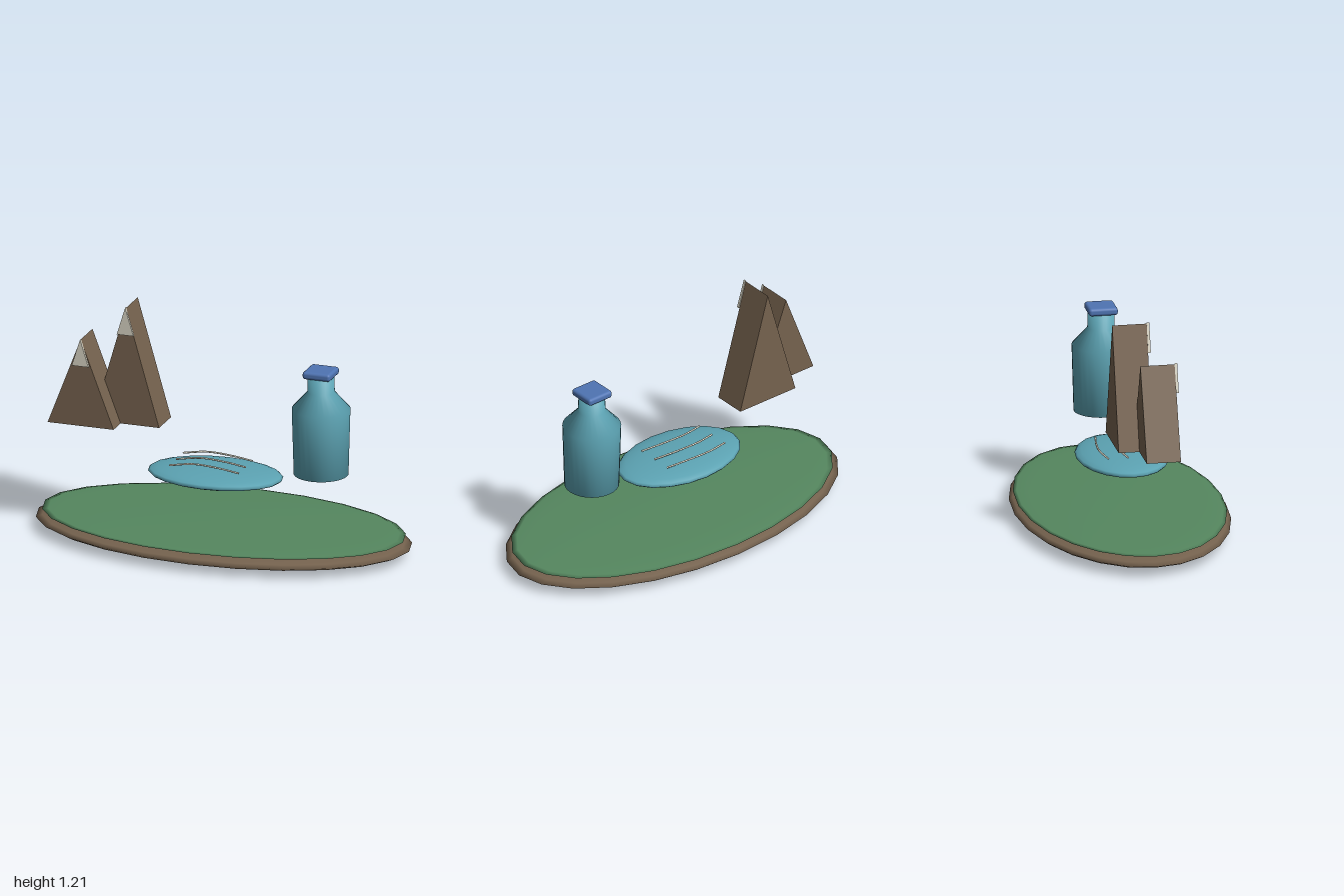
import * as THREE from 'three';
import { RoundedBoxGeometry } from 'three/addons/geometries/RoundedBoxGeometry.js';

const material = (color) => new THREE.MeshStandardMaterial({ color });
const earth = material(0x75624e);
const grass = material(0x55875f);
const water = material(0x5ca3b3);
const capBlue = material(0x4f74b3);
const snow = material(0xd8d4c4);

export function createModel() {
  const model = new THREE.Group();

  const add = (name, geometry, mat, x = 0, y = 0, z = 0) => {
    const mesh = new THREE.Mesh(geometry, mat);
    mesh.name = name;
    mesh.position.set(x, y, z);
    model.add(mesh);
    return mesh;
  };

  // Flattened sphere with radii rx, ry, rz
  const disc = (name, mat, [rx, ry, rz], x, y, z, segments = 24) =>
    add(name, new THREE.SphereGeometry(1, segments, 12).scale(rx, ry, rz), mat, x, y, z);

  // Upright triangular prism, its base centred on x and running from z0 to z1
  const prism = (name, mat, halfWidth, height, x, y, z0, z1) => {
    const shape = new THREE.Shape([
      new THREE.Vector2(-halfWidth, 0),
      new THREE.Vector2(halfWidth, 0),
      new THREE.Vector2(0, height),
    ]);
    const geometry = new THREE.ExtrudeGeometry(shape, { depth: z1 - z0, bevelEnabled: false });
    return add(name, geometry, mat, x, y, z0);
  };

  // Island
  disc('islandBase', earth, [1, 0.057, 0.545], 0, 0.06, 0);
  disc('grassTop', grass, [0.967, 0.016, 0.525], 0, 0.105, 0);

  // Pond and its ripples
  disc('pond', water, [0.357, 0.041, 0.235], -0.045, 0.357, 0, 20);
  for (const z of [-0.104, -0.002, 0.1]) {
    const path = new THREE.CatmullRomCurve3([
      new THREE.Vector3(-0.26, 0.408, z),
      new THREE.Vector3(-0.14, 0.419, z - 0.028),
      new THREE.Vector3(0, 0.416, z - 0.02),
      new THREE.Vector3(0.12, 0.408, z),
    ]);
    add('ripple', new THREE.TubeGeometry(path, 20, 0.005, 6), snow);
  }

  // Mountains, each with a snow patch on its front
  prism('smallMountain', earth, 0.178, 0.465, -0.722, 0.58, -0.03, 0.147);
  prism('smallSnowCap', snow, 0.045, 0.145, -0.72, 0.905, 0.147, 0.161);
  prism('tallMountain', earth, 0.18, 0.624, -0.516, 0.58, -0.137, 0.041);
  prism('tallSnowCap', snow, 0.045, 0.148, -0.515, 1.062, 0.041, 0.055);

  // Bottle and square lid
  const profile = [
    [0, 0.425], [0.14, 0.425], [0.15, 0.775], [0.07, 0.865], [0.068, 0.945], [0, 0.945],
  ].map(([r, y]) => new THREE.Vector2(r, y));
  add('bottle', new THREE.LatheGeometry(profile, 28), water, 0.525, 0, 0);
  add('bottleLid', new RoundedBoxGeometry(0.15, 0.04, 0.15, 3, 0.015), capBlue, 0.523, 0.965, 0);

  return model;
}
